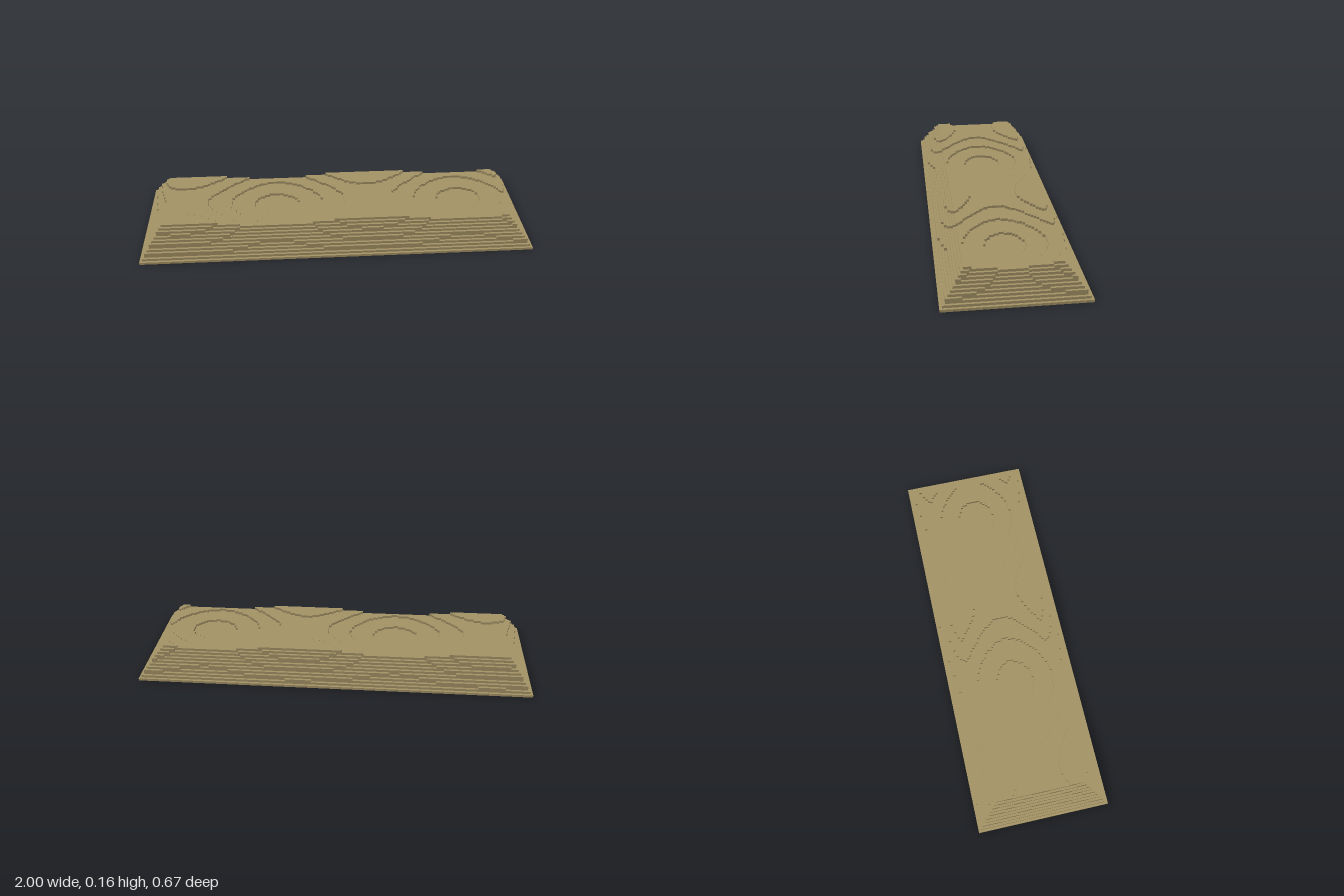
import * as THREE from 'three';

const NX = 162, NZ = 54, CELL = 2 / NX, RIM = 10;

// Stepped height, in whole cells, of the column at grid cell (i, k)
function heightAt(i, k) {
  if (i < 0 || k < 0 || i >= NX || k >= NZ) return 0;
  const x = (i + 0.5) * CELL - 1;
  const z = (k + 0.5 - NZ / 2) * CELL;
  // rolling plateau with two hollows
  const wave = 12.41 - 1.41 * (Math.cos(6.46 * (x + 0.307)) + Math.cos(8 * (z - 0.01)));
  // terraced embankment falling to the border
  const inset = Math.min(i, k, NX - 1 - i, NZ - 1 - k) + 1;
  return Math.max(1, Math.min(13, Math.floor(wave * Math.min(1, inset / RIM) + 0.02)));
}

// Collects flat quads given as four grid corners, counter-clockwise from outside
class QuadList {
  positions = [];
  add(a, b, c, d) {
    for (const [x, y, z] of [a, b, c, a, c, d]) {
      this.positions.push(x * CELL - 1, y * CELL, (z - NZ / 2) * CELL);
    }
  }
  mesh(name, material) {
    const geometry = new THREE.BufferGeometry();
    geometry.setAttribute('position', new THREE.Float32BufferAttribute(this.positions, 3));
    geometry.computeVertexNormals();
    const mesh = new THREE.Mesh(geometry, material);
    mesh.name = name;
    return mesh;
  }
}

// Calls emit(start, end, key values) for each run of equal keys along a line
function eachRun(length, keyAt, emit) {
  let start = 0;
  for (let n = 1; n <= length; n++) {
    if (n === length || keyAt(n).join() !== keyAt(start).join()) {
      emit(start, n, ...keyAt(start));
      start = n;
    }
  }
}

export function createModel() {
  const earth = new THREE.MeshStandardMaterial({ color: 0xa39265 });
  earth.name = 'earth';
  const tops = new QuadList(), walls = new QuadList(), base = new QuadList();

  // Terrace tops, merged into strips along x
  for (let k = 0; k < NZ; k++) {
    eachRun(NX, (i) => [heightAt(i, k)], (s, e, h) =>
      tops.add([s, h, k], [s, h, k + 1], [e, h, k + 1], [e, h, k]));
  }

  // Risers facing front and back
  for (let k = 0; k <= NZ; k++) {
    eachRun(NX, (i) => [heightAt(i, k - 1), heightAt(i, k)], (s, e, back, front) => {
      if (back > front) walls.add([s, front, k], [e, front, k], [e, back, k], [s, back, k]);
      if (front > back) walls.add([e, back, k], [s, back, k], [s, front, k], [e, front, k]);
    });
  }

  // Risers facing the two ends
  for (let i = 0; i <= NX; i++) {
    eachRun(NZ, (k) => [heightAt(i - 1, k), heightAt(i, k)], (s, e, right, left) => {
      if (right > left) walls.add([i, left, e], [i, left, s], [i, right, s], [i, right, e]);
      if (left > right) walls.add([i, right, s], [i, right, e], [i, left, e], [i, left, s]);
    });
  }

  // Flat underside
  base.add([0, 0, 0], [NX, 0, 0], [NX, 0, NZ], [0, 0, NZ]);

  const mound = new THREE.Group();
  mound.name = 'terracedMound';
  mound.add(
    tops.mesh('terraceTops', earth),
    walls.mesh('terraceRisers', earth),
    base.mesh('underside', earth),
  );
  return mound;
}
